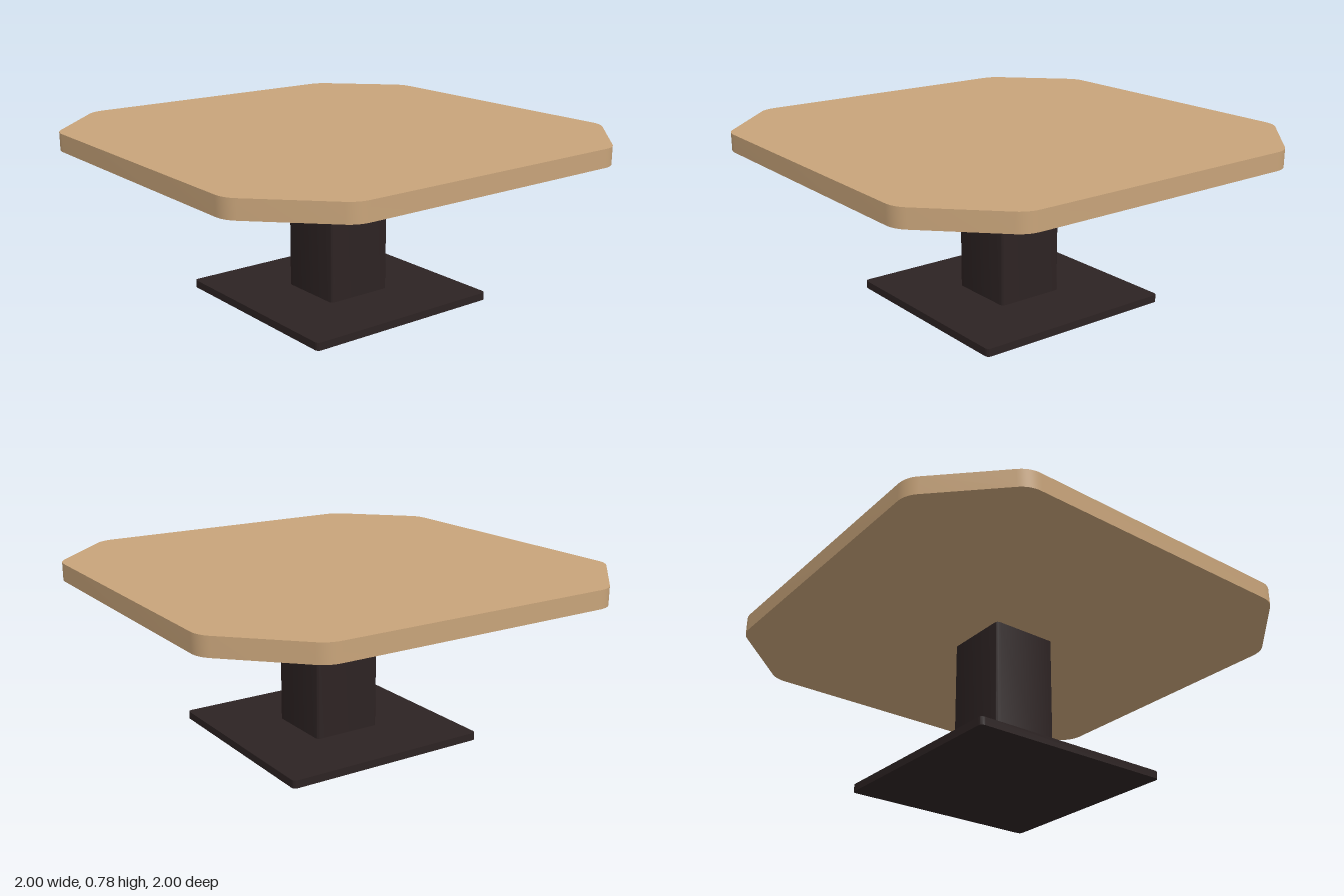
import * as THREE from 'three';
import { toCreasedNormals } from 'three/addons/utils/BufferGeometryUtils.js';

// Closed outline with each corner rounded; cut is the distance trimmed along both edges
function roundedOutline(corners, cut) {
  const shape = new THREE.Shape();
  const n = corners.length;
  corners.forEach((c, i) => {
    const toward = (o) => c.clone().add(o.clone().sub(c).setLength(cut));
    const a = toward(corners[(i + n - 1) % n]);
    const b = toward(corners[(i + 1) % n]);
    if (i === 0) shape.moveTo(a.x, a.y);
    else shape.lineTo(a.x, a.y);
    shape.quadraticCurveTo(c.x, c.y, b.x, b.y);
  });
  shape.closePath();
  return shape;
}

// Upright slab from y0 to y1
function slab(name, shape, y0, y1, material) {
  const extruded = new THREE.ExtrudeGeometry(shape, { depth: y1 - y0, bevelEnabled: false, curveSegments: 8 });
  extruded.rotateX(-Math.PI / 2);
  const mesh = new THREE.Mesh(toCreasedNormals(extruded, Math.PI / 6), material);
  mesh.name = name;
  mesh.position.y = y0;
  return mesh;
}

const points = (list) => list.map(([x, y]) => new THREE.Vector2(x, y));
const square = (h) => points([[h, -h], [h, h], [-h, h], [-h, -h]]);

export function createModel() {
  const wood = new THREE.MeshStandardMaterial({ color: 0xc8a47a });
  wood.name = 'light wood';
  const metal = new THREE.MeshStandardMaterial({ color: 0x2d2323 });
  metal.name = 'dark metal';

  const table = new THREE.Group();
  table.name = 'pedestalTable';

  // Square top with clipped, softened corners
  const k = 0.67;
  const octagon = points([[1, -k], [1, k], [k, 1], [-k, 1], [-1, k], [-1, -k], [-k, -1], [k, -1]]);
  table.add(slab('tableTop', roundedOutline(octagon, 0.05), 0.7, 0.78, wood));

  // Pedestal, set slightly toward the back
  const pedestal = new THREE.Group();
  pedestal.name = 'pedestal';
  pedestal.position.z = -0.024;
  pedestal.add(slab('column', roundedOutline(square(0.16), 0.02), 0.035, 0.7, metal));
  pedestal.add(slab('basePlate', roundedOutline(square(0.478), 0.02), 0, 0.035, metal));
  table.add(pedestal);

  return table;
}
